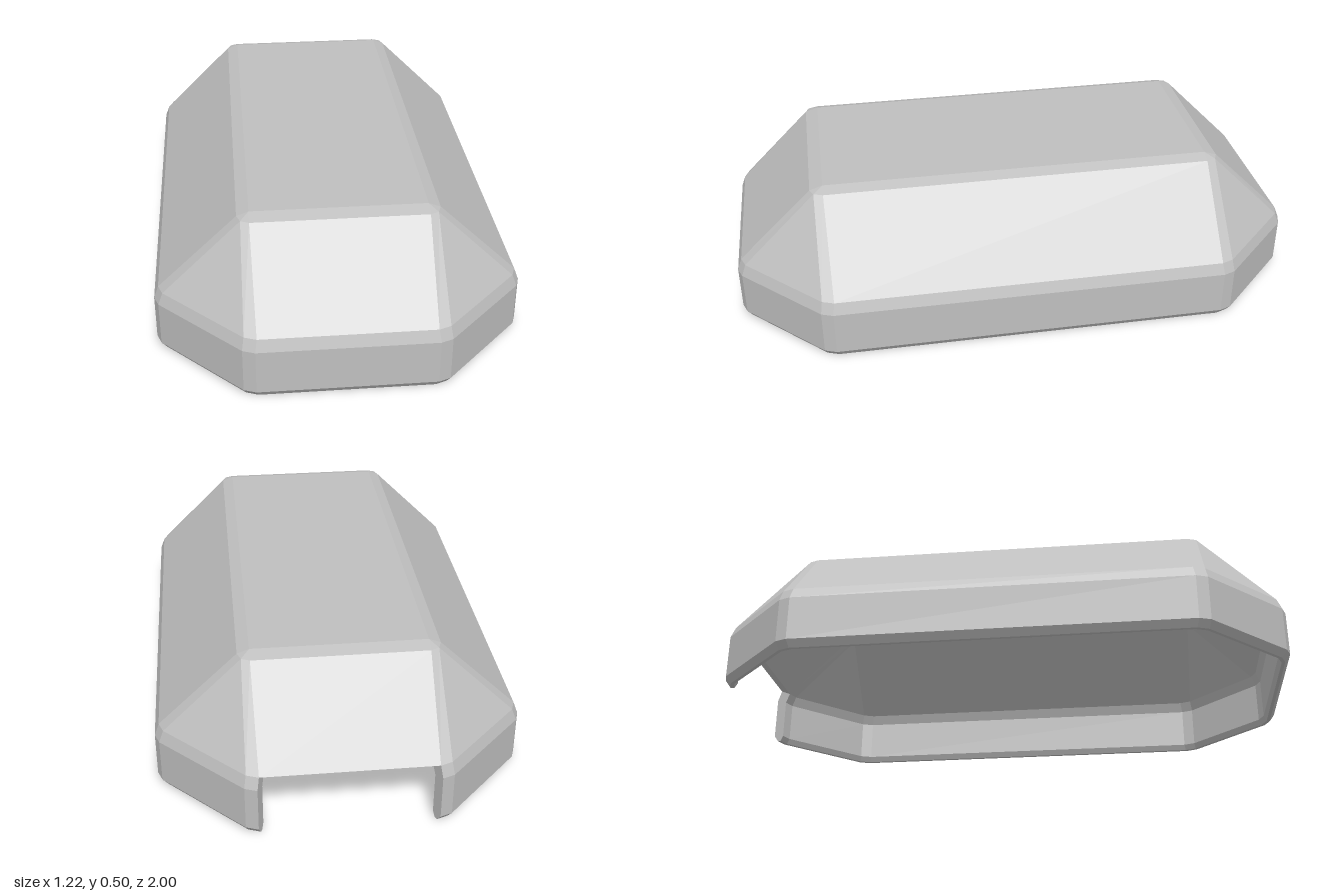
import * as THREE from 'three';

// Quarter of the bevelled octagonal plan, from the front edge round to the side
const QUARTER = [[0.29, 1], [0.33, 0.985], [0.595, 0.72], [0.61, 0.68]];

// Mirror four quarter points (x, z) into a closed 16-point ring at height y
function mirrorRing(q, y) {
  const r = [...q].reverse();
  return [
    ...q,
    ...r.map(([x, z]) => [x, -z]),
    ...q.map(([x, z]) => [-x, -z]),
    ...r.map(([x, z]) => [-x, z]),
  ].map(([x, z]) => [x, y, z]);
}

// Octagonal wall ring, moved inward by d
const wallRing = (d, y) => mirrorRing(QUARTER.map(([x, z], i) =>
  i < 2 ? [x - 0.414 * d, z - d] : [x - d, z - 0.414 * d]), y);

// Ring at the top of the slopes, where each corner facet closes to a point
const shoulderRing = (d, y) => mirrorRing(
  [[0.29, 0.725], [0.318, 0.712], [0.318, 0.712], [0.33, 0.68]].map(([x, z]) => [x - d, z - d]), y);

// Corner of the flat roof
const roofRing = (d, y) => mirrorRing(Array(4).fill([0.29 - d, 0.68 - d]), y);

function shellGeometry() {
  // Section from the ceiling down the inside, round the rim and up the outside
  const rings = [
    roofRing(0.016, 0.455), shoulderRing(0.016, 0.44), wallRing(0.055, 0.2),
    wallRing(0.04, 0.165), wallRing(0.04, 0.02), wallRing(0.03, 0),
    wallRing(0.018, 0), wallRing(0, 0.025), wallRing(0, 0.18),
    wallRing(0.015, 0.22), shoulderRing(0, 0.48), roofRing(0, 0.495),
  ];
  const pos = [];
  const same = (a, b) => a.every((v, i) => Math.abs(v - b[i]) < 1e-6);
  const tri = (a, b, c) => {
    if (!same(a, b) && !same(b, c) && !same(a, c)) pos.push(...a, ...b, ...c);
  };
  const quad = (a, b, c, d) => { tri(a, b, c); tri(a, c, d); };

  // Walls, slopes and rim; the rear panel is left open below the slope
  const N = 16, REAR = 7, LOW = 2, HIGH = 9;
  for (let k = 0; k < rings.length - 1; k++) {
    for (let i = 0; i < N; i++) {
      if (i === REAR && k >= LOW && k < HIGH) continue;
      const j = (i + 1) % N;
      quad(rings[k][i], rings[k][j], rings[k + 1][j], rings[k + 1][i]);
    }
  }

  // Roof and ceiling
  const cap = (r) => [r[0], r[4], r[8], r[12]];
  quad(...cap(rings[11]));
  quad(...cap(rings[0]).reverse());

  // Lintel and side edges of the rear opening
  const [lo, hi] = [rings[LOW], rings[HIGH]];
  quad(lo[REAR], lo[REAR + 1], hi[REAR + 1], hi[REAR]);
  for (let k = LOW; k < 5; k++) {
    const edge = (i) => [rings[k][i], rings[k + 1][i], rings[10 - k][i], rings[11 - k][i]];
    quad(...edge(REAR).reverse());
    quad(...edge(REAR + 1));
  }

  const geo = new THREE.BufferGeometry();
  geo.setAttribute('position', new THREE.Float32BufferAttribute(pos, 3));
  geo.computeVertexNormals();
  return geo;
}

export function createModel() {
  const group = new THREE.Group();
  group.name = 'hollowCover';
  const grey = new THREE.MeshStandardMaterial({ color: 0xbfbfbf });
  grey.name = 'light grey';
  const shell = new THREE.Mesh(shellGeometry(), grey);
  shell.name = 'shell';
  group.add(shell);
  return group;
}
